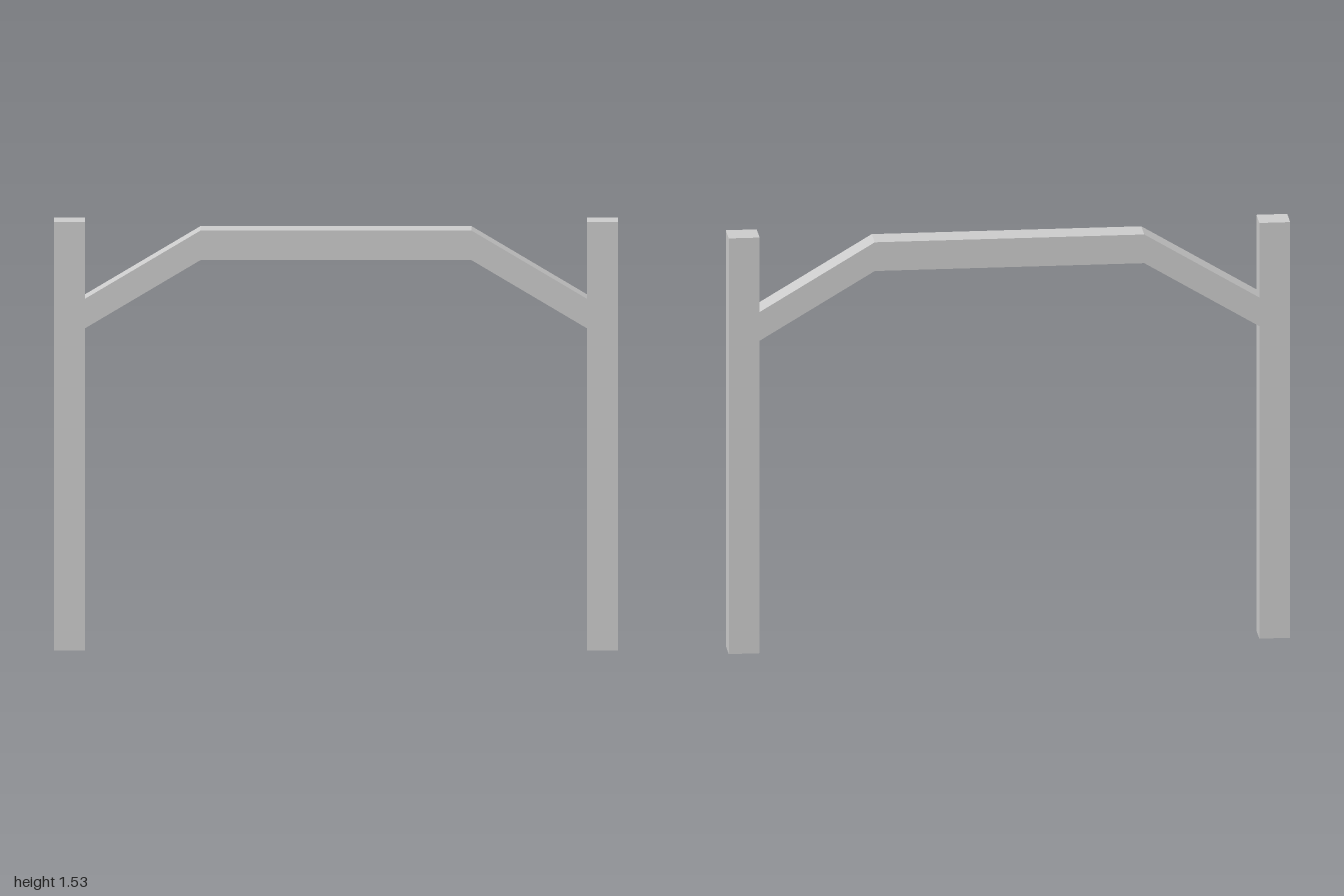
import * as THREE from 'three';

const DEPTH = 0.104, POST_W = 0.11, POST_H = 1.535;
const INNER = 1 - POST_W; // inner face of each post

export function createModel() {
  const group = new THREE.Group();
  const material = new THREE.MeshStandardMaterial({ color: 0xcccccc, flatShading: true });

  // Upright square posts
  for (const [name, side] of [['leftPost', 1], ['rightPost', -1]]) {
    const post = new THREE.Mesh(new THREE.BoxGeometry(POST_W, POST_H, DEPTH), material);
    post.name = name;
    post.position.set(side * (1 - POST_W / 2), POST_H / 2, 0);
    group.add(post);
  }

  // Crossbeam: level middle with a sloping arm down to each post
  const top = [[-INNER, 1.26], [-0.48, 1.505], [0.48, 1.505], [INNER, 1.26]];
  const bottom = top.map(([x, y]) => [x, y - 0.106]).reverse();
  const outline = [...top, ...bottom].map(([x, y]) => new THREE.Vector2(x, y));
  const geometry = new THREE.ExtrudeGeometry(new THREE.Shape(outline), { depth: DEPTH, bevelEnabled: false });
  geometry.translate(0, 0, -DEPTH / 2);
  const beam = new THREE.Mesh(geometry, material);
  beam.name = 'archedCrossbeam';
  group.add(beam);

  return group;
}
